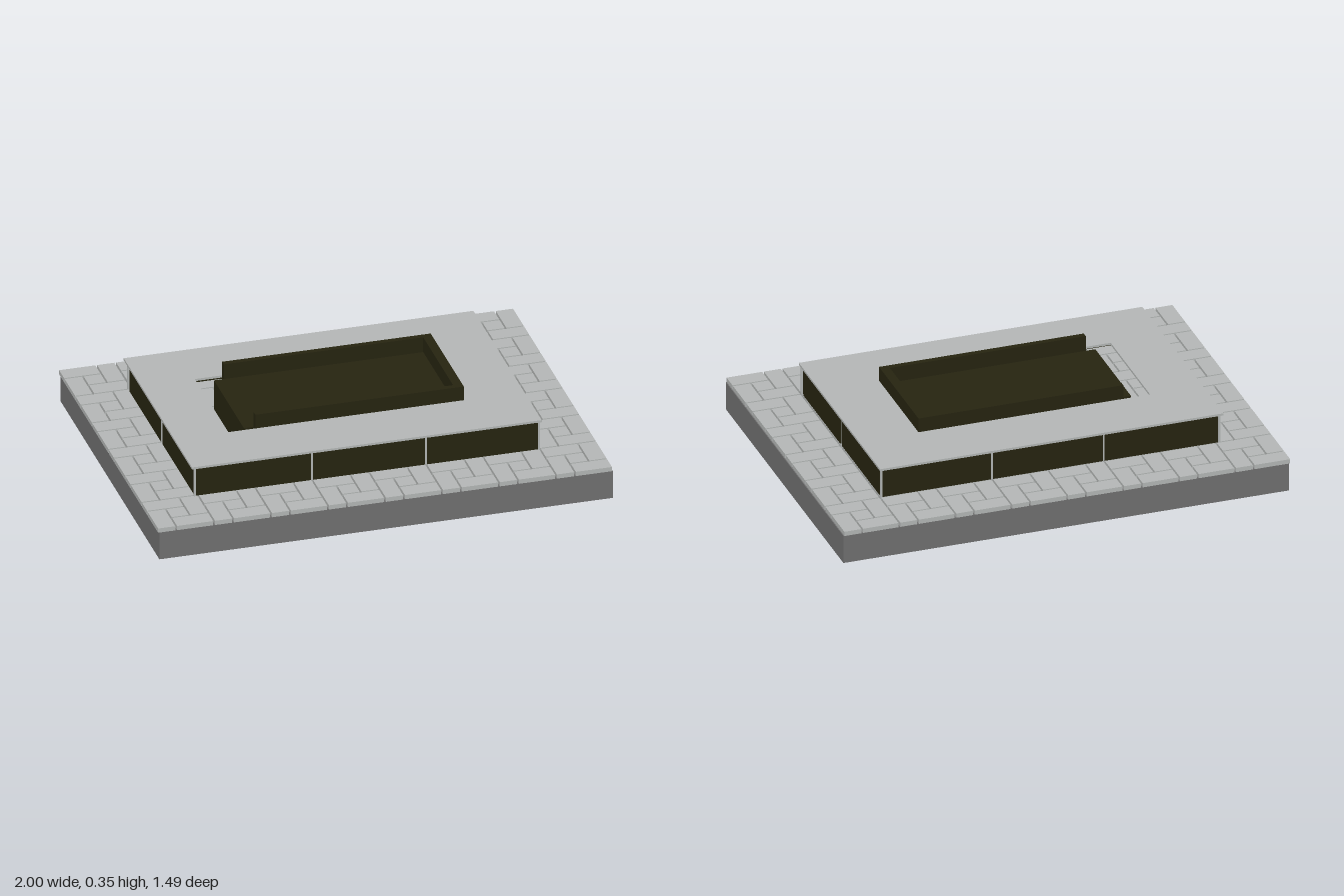
import * as THREE from 'three';
import { mergeGeometries } from 'three/addons/utils/BufferGeometryUtils.js';

const material = (name, color) => {
  const m = new THREE.MeshStandardMaterial({ color });
  m.name = name;
  return m;
};

// Box from its minimum and maximum corners
function span(x0, x1, y0, y1, z0, z1) {
  return new THREE.BoxGeometry(x1 - x0, y1 - y0, z1 - z0)
    .translate((x0 + x1) / 2, (y0 + y1) / 2, (z0 + z1) / 2);
}

export function createModel() {
  const group = new THREE.Group();
  const stone = material('light stone', 0xb4b7b6);
  const concrete = material('grey concrete', 0x707070);
  const dark = material('dark olive panel', 0x262410);

  const add = (name, boxes, mat) => {
    const mesh = new THREE.Mesh(mergeGeometries(boxes), mat);
    mesh.name = name;
    group.add(mesh);
  };

  // Foundation slab, seen through the paving joints
  add('foundationSlab', [span(-0.99, 1, 0, 0.128, -0.745, 0.745)], concrete);

  // Pinwheel paving: four 2x1 bricks turning around a small square
  const cell = 0.25, u = cell / 3, gap = 0.004;
  const bricks = [[0, 0, 2, 1], [2, 0, 1, 2], [1, 2, 2, 1], [0, 1, 1, 2], [1, 1, 1, 1]];
  const pavers = [];
  for (let i = 0; i < 8; i++) {
    for (let j = 0; j < 6; j++) {
      for (const [a, b, w, d] of bricks) {
        const x = -1 + i * cell + a * u, z = -0.75 + j * cell + b * u;
        pavers.push(span(x + gap, x + w * u - gap, 0.128, 0.148, z + gap, z + d * u - gap));
      }
    }
  }
  add('paving', pavers, stone);

  // Hollow surround: dark wall panels separated by light posts
  const y0 = 0.148, y1 = 0.28, t = 0.02, s = 0.004;
  const X0 = -0.765, X1 = 0.745, Z0 = -0.5, Z1 = 0.505;
  const panels = [], posts = [];
  const xs = [X0, -0.25, 0.25, X1], zs = [Z0, 0, Z1];
  for (const z of [Z0, Z1 - t]) {
    for (let i = 0; i < 3; i++) panels.push(span(xs[i] + s, xs[i + 1] - s, y0, y1, z, z + t));
    for (const x of xs.slice(1, 3)) posts.push(span(x - s, x + s, y0, y1, z, z + t));
  }
  for (const x of [X0, X1 - t]) {
    for (let i = 0; i < 2; i++) panels.push(span(x, x + t, y0, y1, zs[i] + t, zs[i + 1] - (i ? t : s)));
    posts.push(span(x, x + t, y0, y1, -s, s));
  }
  for (const x of [X0 - s, X1 - s])
    for (const z of [Z0 - s, Z1 - s]) posts.push(span(x, x + 2 * s, y0, y1, z, z + 2 * s));
  add('wallPanels', panels, dark);
  add('wallPosts', posts, stone);

  // Flat coping around the opening
  const c0 = 0.28, c1 = 0.29;
  add('coping', [
    span(-0.78, 0.755, c0, c1, 0.25, 0.515),
    span(-0.78, 0.755, c0, c1, -0.515, -0.25),
    span(-0.78, -0.545, c0, c1, -0.25, 0.25),
    span(0.49, 0.755, c0, c1, -0.25, 0.25),
  ], stone);

  // Raised tray, open at one end, with a floor that slides out past the rim
  const rim = 0.355;
  add('trayFloor', [span(-0.468, 0.465, y0, 0.285, -0.225, 0.225)], dark);
  add('trayRim', [
    span(-0.425, 0.49, y0, rim, 0.225, 0.25),
    span(-0.425, 0.49, y0, rim, -0.25, -0.225),
    span(0.45, 0.49, y0, rim, -0.225, 0.225),
  ], dark);

  return group;
}
